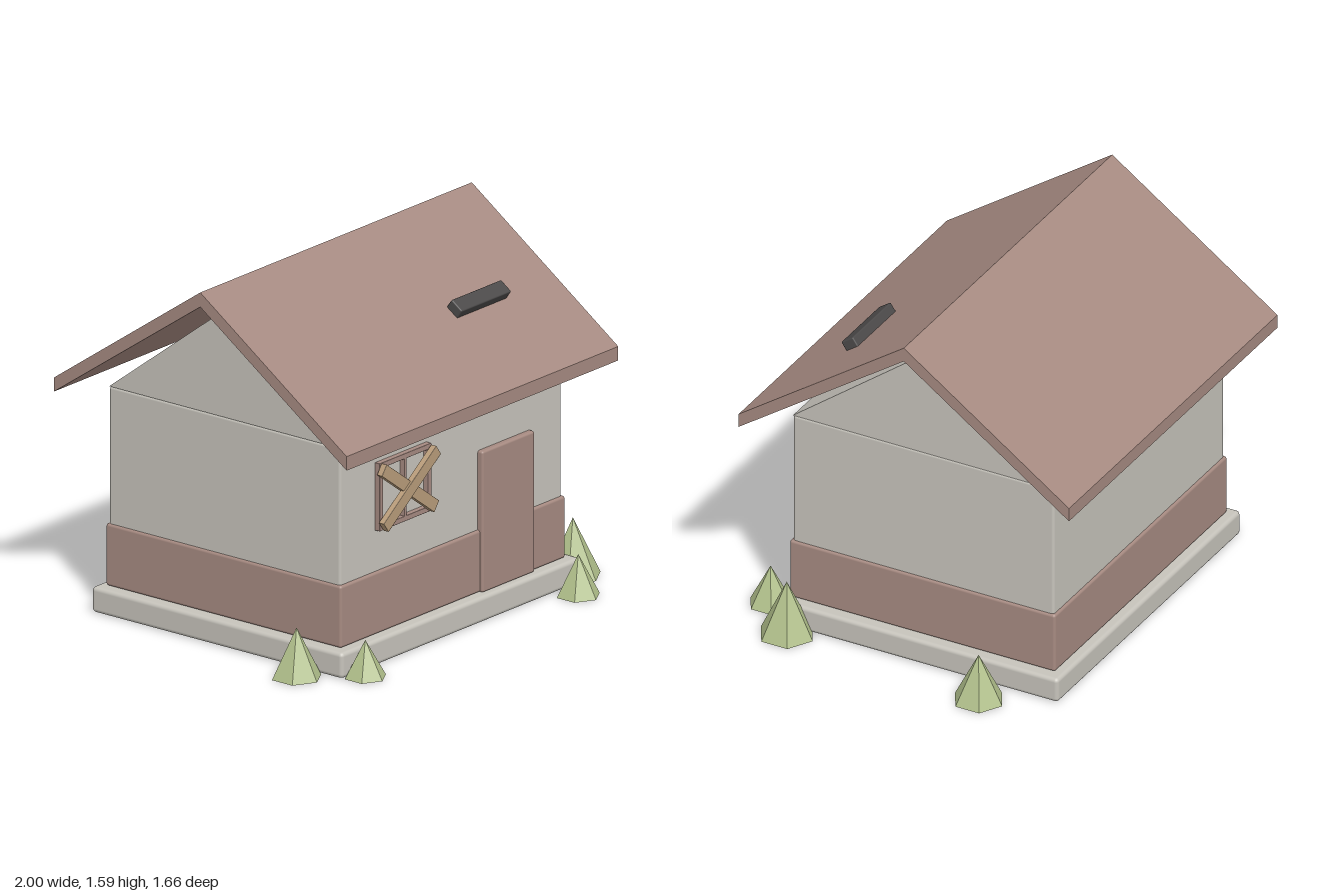
import * as THREE from 'three';
import { RoundedBoxGeometry } from 'three/addons/geometries/RoundedBoxGeometry.js';

const material = (name, color, flatShading = false) => {
  const m = new THREE.MeshStandardMaterial({ color, flatShading });
  m.name = name;
  return m;
};

export function createModel() {
  const plaster = material('plaster', 0xc6c3bb);
  const clay = material('clay', 0xa68a81);
  const wood = material('wood', 0xb89c7a);
  const charcoal = material('charcoal', 0x4c4a4a);
  const leaf = material('leaf', 0xb2c18c, true);

  const model = new THREE.Group();
  model.name = 'cottage';

  const add = (name, geometry, mat, parent = model) => {
    const mesh = new THREE.Mesh(geometry, mat);
    mesh.name = name;
    parent.add(mesh);
    return mesh;
  };

  // Box with softened edges, given by its limits on each axis
  const block = (name, mat, [x0, x1], [y0, y1], [z0, z1], radius, parent) => {
    const mesh = add(name, new RoundedBoxGeometry(x1 - x0, y1 - y0, z1 - z0, 2, radius), mat, parent);
    mesh.position.set((x0 + x1) / 2, (y0 + y1) / 2, (z0 + z1) / 2);
    return mesh;
  };

  // End profile of [distance from the ridge, height] points, extruded across the house
  const ridgeZ = -0.04;
  const across = (name, mat, points, x0, x1) => {
    const shape = new THREE.Shape(points.map(([d, y]) => new THREE.Vector2(d, y)));
    const geometry = new THREE.ExtrudeGeometry(shape, { depth: x1 - x0, bevelEnabled: false });
    geometry.rotateY(Math.PI / 2);
    add(name, geometry, mat).position.set(x0, 0, ridgeZ);
  };

  // Body
  block('foundation', plaster, [-0.81, 0.77], [0, 0.113], [-0.715, 0.638], 0.018);
  block('lowerWall', clay, [-0.765, 0.722], [0.115, 0.39], [-0.675, 0.595], 0.012);
  block('walls', plaster, [-0.755, 0.712], [0.113, 0.997], [-0.664, 0.583], 0.012);
  across('gable', plaster, [[-0.623, 0.997], [0.623, 0.997], [0, 1.473]], -0.755, 0.712);

  // Roof
  across('roof', clay, [
    [-0.79, 0.98], [0, 1.53], [0.79, 0.98], [0.79, 1.042], [0, 1.594], [-0.79, 1.042],
  ], -0.917, 0.88);
  const chimney = add('chimney', new RoundedBoxGeometry(0.33, 0.167, 0.068, 2, 0.006), charcoal);
  chimney.position.set(0.385, 1.26, 0.368);
  chimney.rotation.x = 0.612;

  // Door
  block('door', clay, [0.155, 0.502], [0.115, 0.74], [0.54, 0.61], 0.01);

  // Boarded window
  const boardedWindow = new THREE.Group();
  boardedWindow.name = 'boardedWindow';
  model.add(boardedWindow);
  const depth = [0.57, 0.608];
  for (const [x, w] of [[-0.512, 0.024], [-0.352, 0.016], [-0.193, 0.024]]) {
    block('windowUpright', clay, [x - w / 2, x + w / 2], [0.571, 0.872], depth, 0.003, boardedWindow);
  }
  for (const y of [0.583, 0.86]) {
    block('windowRail', clay, [-0.524, -0.181], [y - 0.012, y + 0.012], depth, 0.003, boardedWindow);
  }
  for (const [side, z] of [[1, 0.631], [-1, 0.621]]) {
    const board = add('board', new RoundedBoxGeometry(0.43, 0.054, 0.028, 1, 0.002), wood, boardedWindow);
    board.position.set(-0.352, 0.722, z);
    board.rotation.z = side * 0.63;
  }

  // Bushes: x, z, radius, height
  const bushes = [
    [-0.905, 0.47, 0.11, 0.22],
    [-0.72, 0.69, 0.092, 0.163],
    [0.64, 0.73, 0.096, 0.183],
    [0.825, 0.55, 0.124, 0.255],
    [0.902, -0.41, 0.113, 0.218],
  ];
  for (const [x, z, radius, height] of bushes) {
    add('bush', new THREE.ConeGeometry(radius, height, 6), leaf).position.set(x, height / 2, z);
  }

  return model;
}
